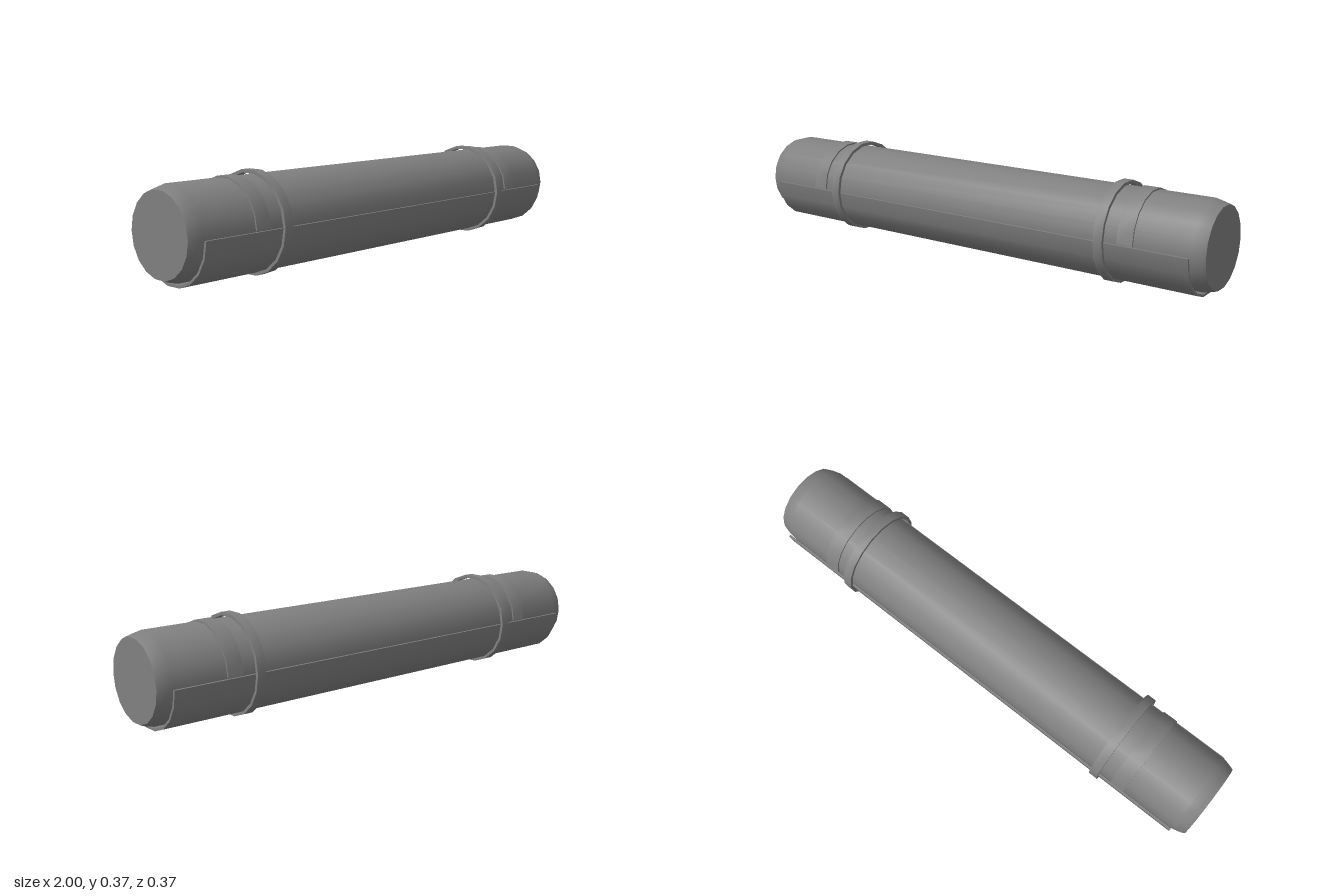
import * as THREE from 'three';
import { toCreasedNormals } from 'three/addons/utils/BufferGeometryUtils.js';

const SIDES = 18;
const CREASE = 0.45;

// Points on an arc, counted in steps of one polygon side
function arc(radius, from, to) {
  const points = [];
  const step = from < to ? 1 : -1;
  for (let k = from; k !== to + step; k += step) {
    const a = (k / SIDES) * Math.PI * 2;
    points.push(new THREE.Vector2(Math.cos(a) * radius, Math.sin(a) * radius));
  }
  return points;
}

// Extrudes a cross-section along x, centred on x = 0
function alongX(shape, length) {
  const geometry = new THREE.ExtrudeGeometry(shape, { depth: length, bevelEnabled: false });
  geometry.translate(0, 0, -length / 2).rotateY(Math.PI / 2);
  return toCreasedNormals(geometry, CREASE);
}

function halfTube(outer, inner, length, from, to) {
  return alongX(new THREE.Shape([...arc(outer, from, to), ...arc(inner, to, from)]), length);
}

function fullRing(outer, inner, length) {
  const shape = new THREE.Shape(arc(outer, 0, SIDES - 1));
  shape.holes.push(new THREE.Path(arc(inner, SIDES - 1, 0)));
  return alongX(shape, length);
}

export function createModel() {
  const model = new THREE.Group();
  model.name = 'canister';
  const grey = new THREE.MeshStandardMaterial({ color: 0x808080 });
  grey.name = 'dark grey metal';

  function add(name, geometry, x, y) {
    const mesh = new THREE.Mesh(geometry, grey);
    mesh.name = name;
    mesh.position.set(x, y, 0);
    model.add(mesh);
  }

  // Long body with chamfered, capped ends
  const profile = [
    [0, -1], [0.148, -1], [0.154, -0.985], [0.163, -0.95],
    [0.163, 0.95], [0.154, 0.985], [0.148, 1], [0, 1],
  ].map(([r, x]) => new THREE.Vector2(r, x));
  const body = new THREE.LatheGeometry(profile, SIDES).rotateZ(-Math.PI / 2);
  add('body', toCreasedNormals(body, CREASE), 0, 0.187);

  // Cradle shell under the body
  add('lowerShell', halfTube(0.175, 0.166, 1.9, 9, 18), 0, 0.183);

  // Clamp rings and the slim half bands beside them
  for (const [side, ringX, bandX] of [['left', 0.62, 0.715], ['right', -0.606, -0.705]]) {
    add(side + 'ClampRing', fullRing(0.186, 0.174, 0.036), ringX, 0.183);
    add(side + 'UpperBand', halfTube(0.169, 0.16, 0.06, 0, 9), bandX, 0.187);
  }
  return model;
}
